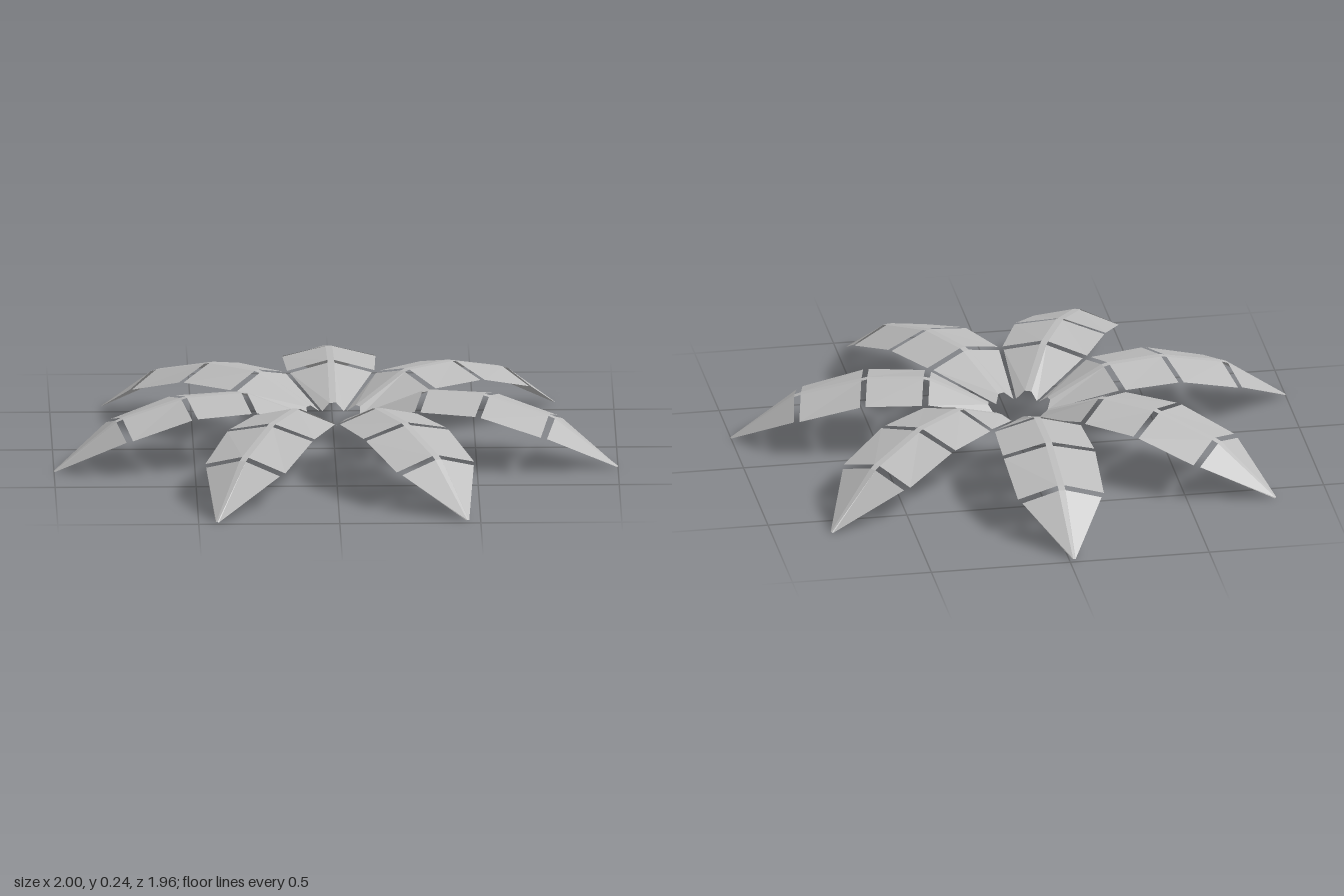
import * as THREE from 'three';

const FRONDS = 7;
const RIB = 0.012; // half width of the flat ridge

// Each leaf panel: inner and outer row as [ridge distance, ridge y, edge distance, edge half width, edge y]
const PANELS = [
  ['leafBase', [0.112, 0.15, 0.09, 0.038, 0.125], [0.32, 0.24, 0.32, 0.145, 0.203]],
  ['leafInner', [0.342, 0.244, 0.342, 0.155, 0.205], [0.542, 0.24, 0.542, 0.165, 0.202]],
  ['leafOuter', [0.562, 0.235, 0.562, 0.165, 0.199], [0.777, 0.177, 0.777, 0.155, 0.135]],
  ['leafTip', [0.8, 0.168, 0.797, 0.143, 0.128], [1.026, 0.002, 1.024, 0.006, 0]],
];

// Cross-section running from one edge over the ridge to the other
function section([d, y, edgeD, w, edgeY]) {
  const r = Math.min(RIB, w * 0.5);
  return [[-w, edgeY, -edgeD], [-r, y, -d], [r, y, -d], [w, edgeY, -edgeD]];
}

// Surface joining consecutive cross-sections, facing up
function loft(rows) {
  const n = rows[0].length;
  const index = [];
  for (let j = 0; j < rows.length - 1; j++) {
    for (let i = 0; i < n - 1; i++) {
      const a = j * n + i, b = a + 1, c = a + n, d = c + 1;
      index.push(a, b, c, b, d, c);
    }
  }
  const geometry = new THREE.BufferGeometry();
  geometry.setAttribute('position', new THREE.Float32BufferAttribute(rows.flat(2), 3));
  geometry.setIndex(index);
  const flat = geometry.toNonIndexed();
  flat.computeVertexNormals();
  return flat;
}

export function createModel() {
  const model = new THREE.Group();
  model.name = 'frondCrown';

  const leafGrey = new THREE.MeshStandardMaterial({ color: 0xbbbbbb, side: THREE.DoubleSide, flatShading: true });
  leafGrey.name = 'leafGrey';

  const panels = PANELS.map(([name, inner, outer]) => [name, loft([section(inner), section(outer)])]);

  // Short midrib links that bridge the gaps between panels
  for (let i = 0; i < PANELS.length - 1; i++) {
    const [d0, y0] = PANELS[i][2];
    const [d1, y1] = PANELS[i + 1][1];
    const row = (d, y) => [[-RIB, y, -d], [RIB, y, -d]];
    panels.push(['midribLink', loft([row(d0, y0), row(d1, y1)])]);
  }

  // Identical fronds spread around the centre
  for (let k = 0; k < FRONDS; k++) {
    const frond = new THREE.Group();
    frond.name = 'frond' + (k + 1);
    for (const [name, geometry] of panels) {
      const mesh = new THREE.Mesh(geometry, leafGrey);
      mesh.name = name;
      frond.add(mesh);
    }
    frond.position.set(-0.003, 0, 0.0475);
    frond.rotation.y = 0.014 - (k * Math.PI * 2) / FRONDS;
    model.add(frond);
  }
  return model;
}
